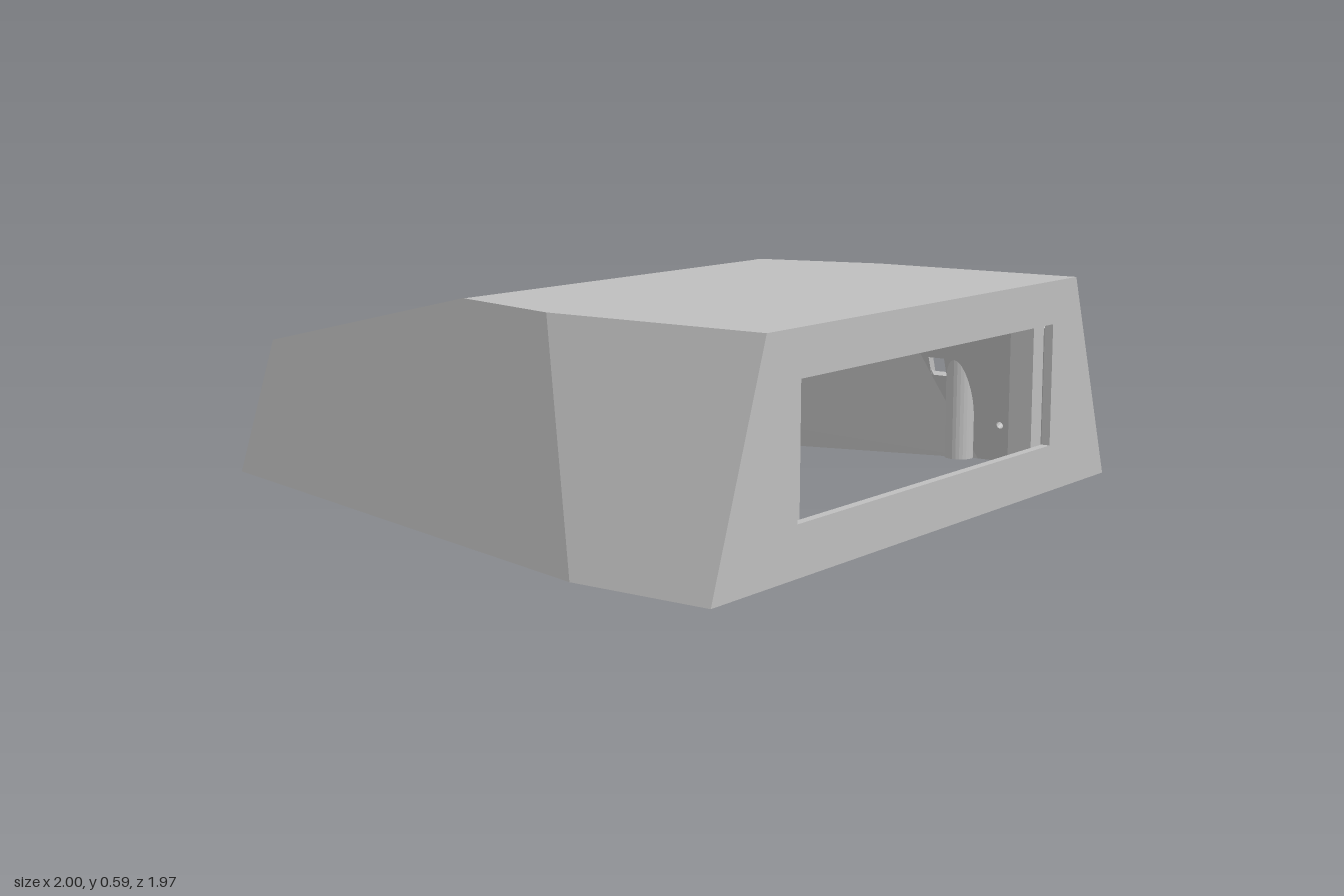
import * as THREE from 'three';

const T = 0.025; // shell thickness
const V = (x, y, z) => new THREE.Vector3(x, y, z);

// Outer surface of the sloping side walls and of the roof
const wallZ = (x, y) => Math.min(0.816 + 0.281 * x - 0.247 * y, 0.985 - 0.356 * y);
const roofY = (x) => Math.min(0.59, 0.59 + 0.219 * x);

export function createModel() {
  const group = new THREE.Group();
  const grey = new THREE.MeshStandardMaterial({ color: 0xbebebe, side: THREE.DoubleSide });
  grey.name = 'grey plastic';

  function add(name, geometry, x = 0, y = 0, z = 0) {
    const mesh = new THREE.Mesh(geometry, grey);
    mesh.name = name;
    mesh.position.set(x, y, z);
    group.add(mesh);
    return mesh;
  }

  // Flat panel from a planar outline, with holes, thickened towards the inside
  function panel(name, outline, holes = []) {
    const o = outline[0];
    const u = outline[1].clone().sub(o).normalize();
    const w = u.clone().cross(outline[2].clone().sub(o)).normalize();
    if (w.dot(V(0, 0.25, 0).sub(o)) < 0) w.negate();
    const v = w.clone().cross(u);
    const flat = (pts) => pts.map((p) => {
      const d = p.clone().sub(o);
      return new THREE.Vector2(d.dot(u), d.dot(v));
    });
    const shape = new THREE.Shape(flat(outline));
    shape.holes = holes.map((h) => new THREE.Path(flat(h)));
    const geo = new THREE.ExtrudeGeometry(shape, { depth: T, bevelEnabled: false });
    geo.applyMatrix4(new THREE.Matrix4().makeBasis(u, v, w).setPosition(o));
    const pos = geo.attributes.position;
    for (let i = 0; i < pos.count; i++) pos.setY(i, Math.max(0, pos.getY(i)));
    geo.computeVertexNormals();
    add(name, geo);
  }

  // Hole outlines on a side wall, given as seen from the front
  const onWall = (s, x, y) => V(x, y, s * wallZ(x, y));
  const rectHole = (s, x0, x1, y0, y1) =>
    [[x0, y0], [x1, y0], [x1, y1], [x0, y1]].map(([x, y]) => onWall(s, x, y));
  const roundHole = (s, cx, cy, r) => Array.from({ length: 10 }, (_, i) => {
    const a = (i / 10) * Math.PI * 2;
    return onWall(s, cx + r * Math.cos(a), cy + r * Math.sin(a));
  });

  // Speaker grille: rings of small round holes
  const grille = [roundHole(1, 0.16, 0.3, 0.011)];
  for (let k = 1; k <= 6; k++) {
    for (let i = 0; i < 6 * k; i++) {
      const a = (i / (6 * k)) * Math.PI * 2;
      grille.push(roundHole(1, 0.16 + 0.029 * k * Math.cos(a), 0.3 + 0.029 * k * Math.sin(a), 0.011));
    }
  }

  // Connector slots and screw holes in the back
  const connectors = [0.52, 0.8].map((x) => rectHole(-1, x - 0.026, x + 0.026, 0.265, 0.32));
  for (const x of [0.7, 0.9]) for (const y of [0.126, 0.45]) connectors.push(roundHole(-1, x, y, 0.011));

  // Side walls
  for (const s of [1, -1]) {
    const side = s > 0 ? 'front' : 'back';
    panel(side + 'AngledWall',
      [V(-1, 0, s * 0.535), V(0.6, 0, s * 0.985), V(0.36, 0.59, s * 0.775), V(0, 0.59, s * 0.67), V(-0.935, 0.385, s * 0.458)],
      [rectHole(s, -0.8, -0.66, 0.135, 0.25), ...(s > 0 ? grille : [])]);
    panel(side + 'StraightWall',
      [V(0.6, 0, s * 0.985), V(1, 0, s * 0.985), V(1, 0.59, s * 0.775), V(0.36, 0.59, s * 0.775)],
      s < 0 ? connectors : []);
  }

  // End walls and roof
  const symmetric = (pts) => [...pts, ...pts.map((p) => V(p.x, p.y, -p.z)).reverse()];
  panel('narrowEndWall', symmetric([V(-1, 0, 0.535), V(-0.935, 0.385, 0.458)]));
  panel('wideEndWall', symmetric([V(1, 0, 0.985), V(1, 0.59, 0.775)]),
    [symmetric([V(1, 0.13, 0.64), V(1, 0.47, 0.64)])]);
  panel('slopedRoof', symmetric([V(-0.935, 0.385, 0.458), V(0, 0.59, 0.67)]));
  panel('flatRoof', symmetric([V(0, 0.59, 0.67), V(0.36, 0.59, 0.775), V(1, 0.59, 0.775)]));

  // Upright ring, extruded along +y from y = 0
  function ring(outer, inner, height) {
    const shape = new THREE.Shape().absarc(0, 0, outer, 0, Math.PI * 2);
    shape.holes.push(new THREE.Path().absarc(0, 0, inner, 0, Math.PI * 2));
    return new THREE.ExtrudeGeometry(shape, { depth: height, bevelEnabled: false, curveSegments: 12 })
      .rotateX(-Math.PI / 2);
  }

  for (const s of [1, -1]) {
    // Screw posts, cut off where they run into the wall or roof
    for (const [x, z] of [[0.58, 0.89], [-0.2, 0.69], [-0.88, 0.48]]) {
      const geo = ring(0.042, 0.018, 1).translate(x, 0, s * z);
      const pos = geo.attributes.position;
      for (let i = 0; i < pos.count; i++) {
        const px = pos.getX(i), pz = Math.abs(pos.getZ(i));
        const slope = x > 0.5 ? 0.356 : 0.247;
        const top = Math.min((wallZ(px, 0) - 0.012 - pz) / slope, roofY(px) - 0.012);
        pos.setY(i, pos.getY(i) > 0.5 ? top : 0.012);
      }
      geo.computeVertexNormals();
      add('screwPost', geo);
    }

    // Ribs beside the small window, leaning with the wall
    for (const [x, y0, y1] of [[-0.56, 0.1, 0.4], [-0.86, 0.12, 0.33]]) {
      const geo = new THREE.BoxGeometry(0.04, y1 - y0, 0.045).translate(x, (y0 + y1) / 2, 0);
      const pos = geo.attributes.position;
      for (let i = 0; i < pos.count; i++) {
        pos.setZ(i, s * (wallZ(pos.getX(i), pos.getY(i)) - 0.04) + pos.getZ(i));
      }
      geo.computeVertexNormals();
      add('windowRib', geo);
    }

    // Upright strips at the ends of the large opening
    add('openingStrip', new THREE.BoxGeometry(0.07, 0.42, 0.06), 0.935, 0.31, s * 0.615);

    // Tapered bosses under the roof
    for (const [x, z] of [[0.8, 0.28], [0.15, 0.27]]) addBoss(x, s * z, 0.09);
  }
  addBoss(0.36, 0, 0.12);

  function addBoss(x, z, length) {
    const profile = [[0.05, length], [0.034, 0], [0.015, 0], [0.015, length]];
    add('roofBoss', new THREE.LatheGeometry(profile.map(([r, y]) => new THREE.Vector2(r, y)), 20),
      x, 0.575 - length, z);
  }

  // Round duct holder hanging from the roof
  const holder = new THREE.Shape();
  holder.moveTo(0.185, 0.195).lineTo(0.185, 0.46).lineTo(-0.185, 0.46).lineTo(-0.185, 0.195);
  holder.absarc(0, 0.195, 0.185, Math.PI, Math.PI * 2);
  holder.holes.push(new THREE.Path().absarc(0, 0.195, 0.145, 0, Math.PI * 2));
  add('ductHolder', new THREE.ExtrudeGeometry(holder, { depth: 0.06, bevelEnabled: false, curveSegments: 24 })
    .rotateY(Math.PI / 2), -0.51);
  add('ductRing', ring(0.165, 0.145, 0.05).rotateZ(-Math.PI / 2), -0.45, 0.195, 0);

  return group;
}
